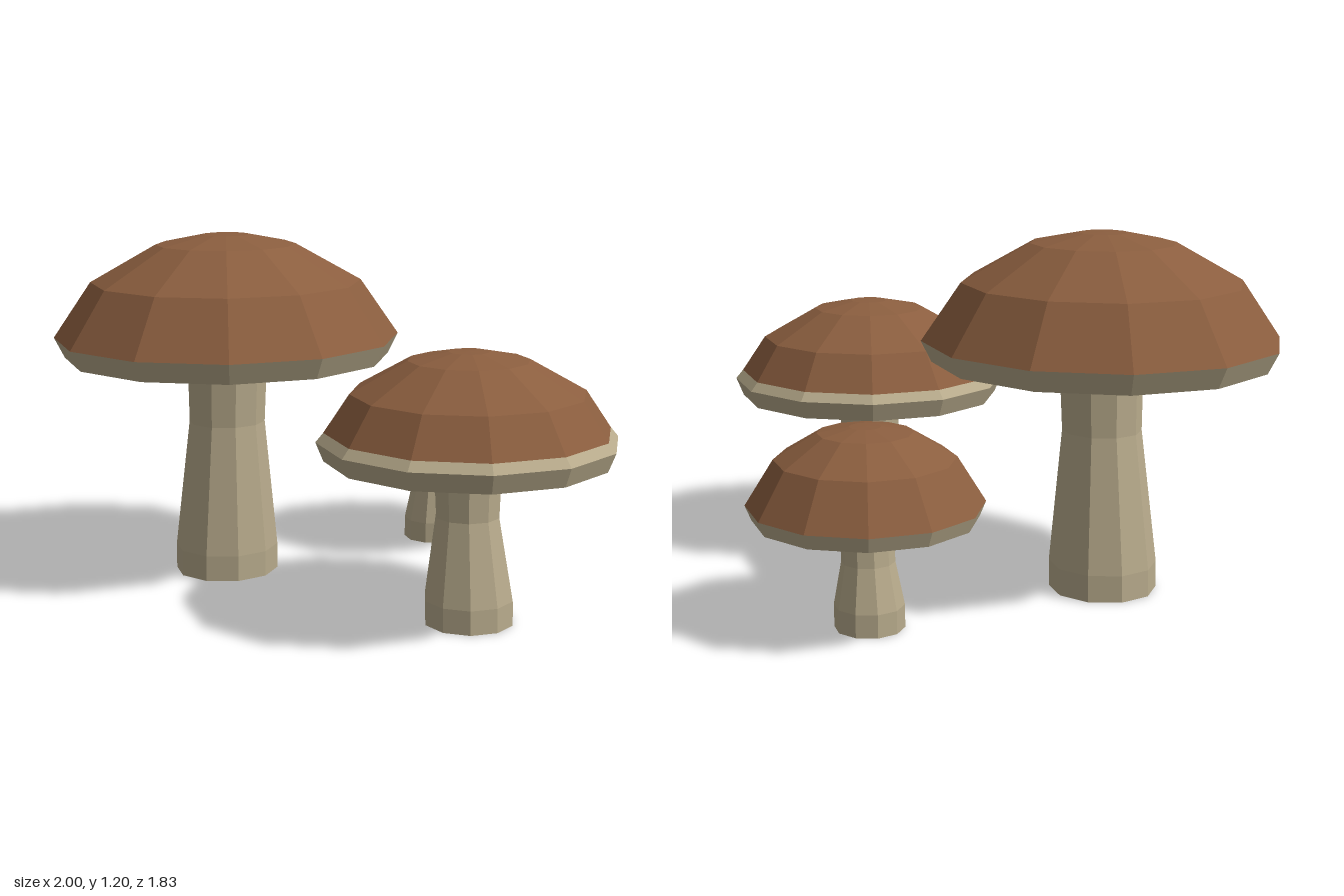
import * as THREE from 'three';

const brown = new THREE.MeshStandardMaterial({ color: 0x8b5e3f, flatShading: true });
brown.name = 'capBrown';
const cream = new THREE.MeshStandardMaterial({ color: 0xb8ab8c, flatShading: true });
cream.name = 'stemCream';

// Faceted solid of revolution; profile is [radius, y, shiftX?] from bottom to top
function turned(name, profile, sides, material, turn = 0) {
  const points = profile.map(([r, y]) => new THREE.Vector2(r, y));
  const lathe = new THREE.LatheGeometry(points, sides, turn);
  const pos = lathe.attributes.position;
  // Lean: slide each ring sideways by its own shift
  for (let i = 0; i < pos.count; i++) {
    pos.setX(i, pos.getX(i) + (profile[i % profile.length][2] ?? 0));
  }
  const geometry = lathe.toNonIndexed();
  geometry.computeVertexNormals();
  const mesh = new THREE.Mesh(geometry, material);
  mesh.name = name;
  return mesh;
}

const mushrooms = [
  {
    name: 'tallMushroom', x: -0.405, z: 0.315, turn: 0,
    stem: [[0, 0, -0.03], [0.18, 0, -0.03], [0.18, 0.09, -0.028], [0.132, 0.54, -0.012], [0.138, 0.75, -0.004]],
    rim: [[0, 0.735], [0.14, 0.735], [0.56, 0.775], [0.595, 0.845]],
    cap: [[0.595, 0.845], [0.465, 1.035], [0.24, 1.162], [0.08, 1.195], [0, 1.197]],
  },
  {
    name: 'middleMushroom', x: 0.515, z: -0.02, turn: Math.PI / 10,
    stem: [[0, 0, 0.014], [0.147, 0, 0.014], [0.147, 0.08, 0.012], [0.105, 0.35, 0.002], [0.112, 0.51]],
    rim: [[0, 0.5], [0.11, 0.5], [0.46, 0.538], [0.485, 0.6], [0.46, 0.63]],
    cap: [[0.46, 0.63], [0.378, 0.752], [0.195, 0.855], [0.065, 0.882], [0, 0.884]],
  },
  {
    name: 'smallMushroom', x: -0.315, z: -0.54, turn: 0,
    stem: [[0, 0, -0.015], [0.112, 0, -0.015], [0.112, 0.075, -0.014], [0.085, 0.215, -0.01], [0.085, 0.32, -0.003]],
    rim: [[0, 0.31], [0.085, 0.31], [0.355, 0.352], [0.375, 0.4]],
    cap: [[0.375, 0.4], [0.285, 0.545], [0.15, 0.627], [0.05, 0.645], [0, 0.646]],
  },
];

export function createModel() {
  const model = new THREE.Group();
  model.name = 'mushroomCluster';
  for (const m of mushrooms) {
    const group = new THREE.Group();
    group.name = m.name;
    group.add(
      turned('stem', m.stem, 10, cream, m.turn),
      turned('capUnderside', m.rim, 12, cream),
      turned('capTop', m.cap, 12, brown),
    );
    group.position.set(m.x, 0, m.z);
    model.add(group);
  }
  return model;
}
